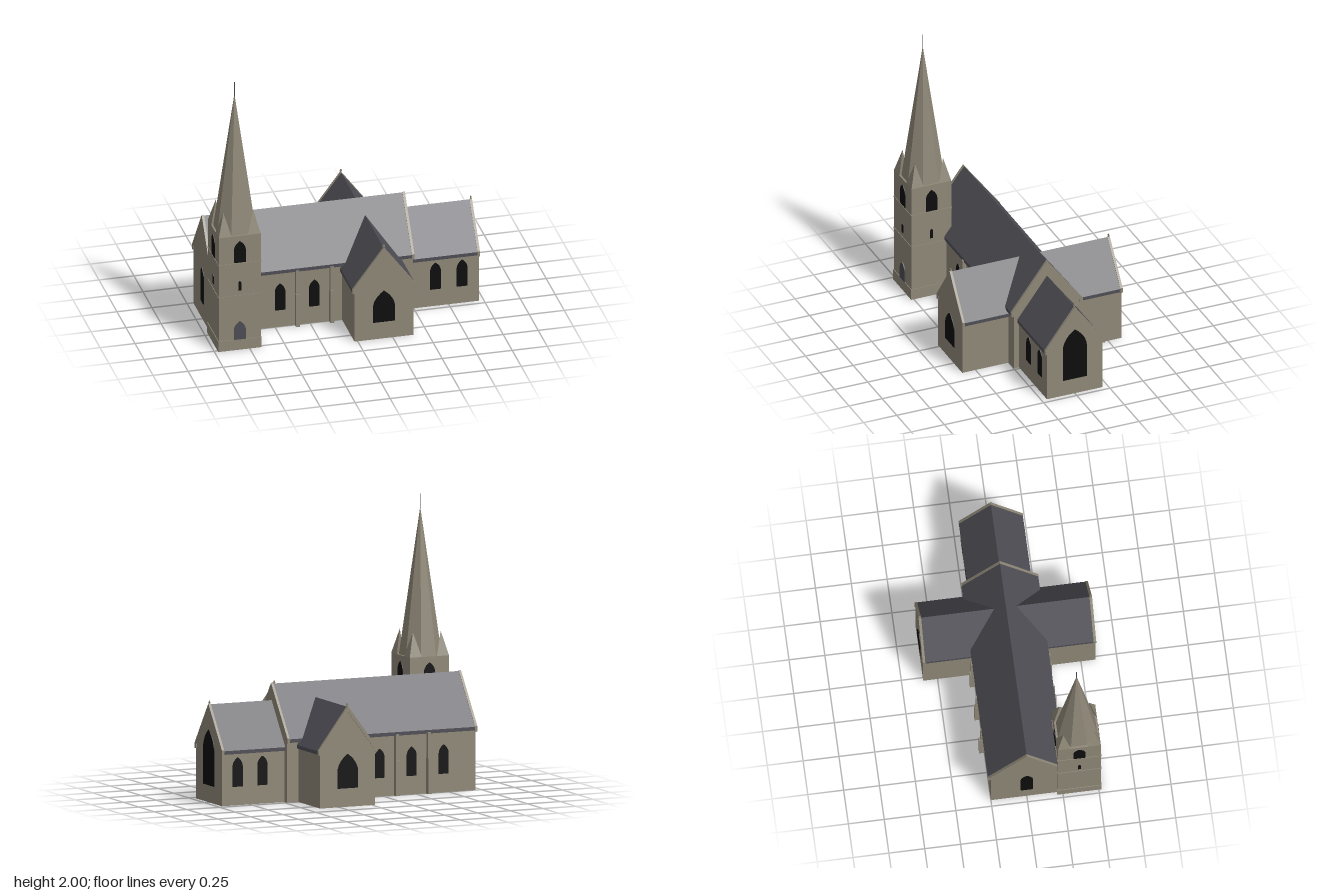
import * as THREE from 'three';
import { ConvexGeometry } from 'three/addons/geometries/ConvexGeometry.js';

const mat = (name, color) => Object.assign(new THREE.MeshStandardMaterial({ color }), { name });

export function createModel() {
  const stone = mat('stone', 0x8f8878);
  const slate = mat('slate', 0x4f4e55);
  const dark = mat('window black', 0x0d0d0e);
  const lead = mat('door grey', 0x4c4c53);
  const church = new THREE.Group();
  church.name = 'church';

  const add = (parent, name, geo, material, x = 0, y = 0, z = 0) => {
    const m = new THREE.Mesh(geo, material);
    m.name = name;
    m.position.set(x, y, z);
    parent.add(m);
    return m;
  };
  const box = (parent, name, w, h, d, x, y, z, material = stone) =>
    add(parent, name, new THREE.BoxGeometry(w, h, d), material, x, y + h / 2, z);

  // Extrudes a profile along z, centred on z0
  const prism = (points, from, to) => {
    const shape = new THREE.Shape(points.map(p => new THREE.Vector2(...p)));
    return new THREE.ExtrudeGeometry(shape, { depth: to - from, bevelEnabled: false }).translate(0, 0, from);
  };
  const chevron = (half, eave, ridge, t) =>
    [[-half, eave - t], [0, ridge - t], [half, eave - t], [half, eave], [0, ridge], [-half, eave]];

  // Pointed-arch plate facing +z before turning
  const lancet = (parent, name, x, y, z, half, height, turn = 0, material = dark) => {
    const spring = height - half * 1.55, s = new THREE.Shape();
    s.moveTo(-half, 0);
    s.lineTo(half, 0);
    s.lineTo(half, spring);
    s.quadraticCurveTo(half * 0.92, spring + half * 0.9, 0, height);
    s.quadraticCurveTo(-half * 0.92, spring + half * 0.9, -half, spring);
    const g = new THREE.ExtrudeGeometry(s, { depth: 0.008, bevelEnabled: false, curveSegments: 6 });
    add(parent, name, g.translate(0, 0, -0.004), material, x, y, z).rotation.y = turn;
  };

  // Gabled wing running along its own z axis, coped at the chosen ends
  const wing = (name, { wall, half, eave, ridge, from, to, copings, finials }) => {
    const g = new THREE.Group();
    g.name = name;
    church.add(g);
    const slope = (ridge - eave) / half;
    const wallTop = ridge - 0.02 - wall * slope;
    add(g, 'walls', prism([[-wall, 0], [wall, 0], [wall, wallTop], [0, ridge - 0.02], [-wall, wallTop]], from, to), stone);
    add(g, 'roof', prism(chevron(half, eave + 0.005, ridge, 0.025), from + 0.008, to - 0.008), slate);
    for (const side of [-1, 1])
      box(g, 'gutter', 0.014, 0.018, to - from - 0.02, side * (half - 0.007), eave - 0.02, (from + to) / 2, slate);
    for (const end of copings) {
      const at = end < 0 ? from : to;
      const a = at - (end > 0 ? 0.013 : 0.005), b = at + (end > 0 ? 0.005 : 0.013);
      add(g, 'gableCoping', prism(chevron(half, eave + 0.01, ridge + 0.006, 0.04), a, b), stone);
      for (const side of [-1, 1])
        box(g, 'kneeler', 0.028, 0.032, 0.018, side * (half - 0.012), eave - 0.022, (a + b) / 2);
      if (finials) {
        box(g, 'finial', 0.007, 0.03, 0.007, 0, ridge - 0.005, (a + b) / 2);
        box(g, 'finialArm', 0.018, 0.007, 0.009, 0, ridge + 0.01, (a + b) / 2);
      }
    }
    return g;
  };

  // Nave and chancel run along x, transept along z
  wing('nave', { wall: 0.25, half: 0.268, eave: 0.44, ridge: 0.8, from: -0.955, to: 0.486, copings: [-1, 1] })
    .rotation.y = Math.PI / 2;
  wing('chancel', { wall: 0.21, half: 0.223, eave: 0.38, ridge: 0.685, from: 0.45, to: 0.965, copings: [1], finials: true })
    .rotation.y = Math.PI / 2;
  wing('transept', { wall: 0.21, half: 0.223, eave: 0.395, ridge: 0.698, from: -0.6, to: 0.6, copings: [-1, 1], finials: true })
    .position.x = 0.187;

  // Side windows and buttresses on both long walls
  for (const side of [1, -1]) {
    const turn = side > 0 ? 0 : Math.PI;
    for (const x of side > 0 ? [-0.465, -0.22] : [-0.71, -0.465, -0.22])
      lancet(church, 'naveWindow', x, 0.13, side * 0.25, 0.037, 0.205, turn);
    for (const x of [0.655, 0.845])
      lancet(church, 'chancelWindow', x, 0.13, side * 0.21, 0.038, 0.205, turn);
    lancet(church, 'transeptWindow', 0.187, 0.13, side * 0.6, 0.079, 0.24, turn);
    for (const x of side > 0 ? [-0.345, -0.1] : [-0.59, -0.345, -0.1]) {
      box(church, 'buttressBase', 0.028, 0.25, 0.06, x, 0, side * 0.256);
      box(church, 'buttressTop', 0.024, 0.18, 0.05, x, 0.25, side * 0.252);
    }
  }
  lancet(church, 'eastWindow', 0.965, 0.12, 0, 0.09, 0.39, Math.PI / 2);
  lancet(church, 'westWindow', -0.955, 0.13, 0, 0.042, 0.27, -Math.PI / 2);

  // Tower
  const tower = new THREE.Group();
  tower.name = 'tower';
  tower.position.set(-0.82, 0, 0.365);
  church.add(tower);
  box(tower, 'plinth', 0.31, 0.08, 0.31, 0, 0, 0);
  box(tower, 'towerWalls', 0.3, 0.88, 0.3, 0, 0, 0);
  for (const y of [0.41, 0.66])
    box(tower, 'stringCourse', 0.308, 0.01, 0.308, 0, y, 0);
  for (let i = 0; i < 4; i++) {
    const a = i * Math.PI / 2, x = Math.sin(a) * 0.15, z = Math.cos(a) * 0.15;
    lancet(tower, 'belfryOpening', x, 0.675, z, 0.042, 0.165, a);
    lancet(tower, 'slitWindow', x, 0.457, z, 0.011, 0.073, a);
  }
  lancet(tower, 'door', 0, 0.08, 0.152, 0.042, 0.14, 0, lead);

  // Octagonal spire with flat faces to the four sides
  const spire = new THREE.ConeGeometry(0.148, 1.03, 8, 1).toNonIndexed();
  spire.rotateY(Math.PI / 8);
  spire.computeVertexNormals();
  add(tower, 'spire', spire, stone, 0, 0.88 + 0.515, 0);
  add(tower, 'spireRod', new THREE.CylinderGeometry(0.003, 0.003, 0.11, 6), lead, 0, 1.945, 0);

  // Corner pinnacles filling the square around the spire
  for (const sx of [-1, 1]) for (const sz of [-1, 1]) {
    const pts = [[0.15, 0.88, 0.15], [0.058, 0.88, 0.15], [0.15, 0.88, 0.058], [0.106, 1.05, 0.106]];
    add(tower, 'pinnacle', new ConvexGeometry(pts.map(([x, y, z]) => new THREE.Vector3(x * sx, y, z * sz))), stone);
  }
  return church;
}
